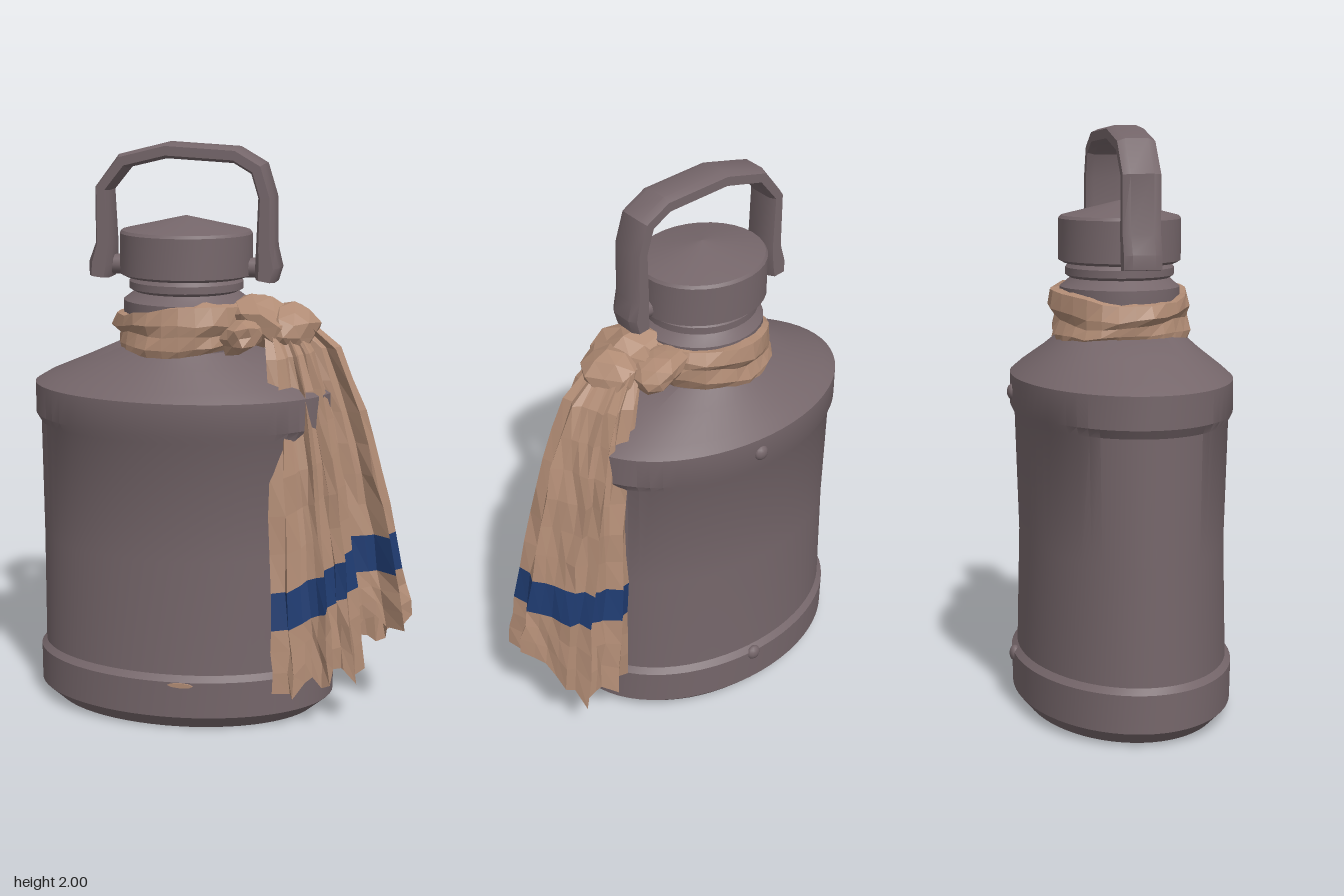
import * as THREE from 'three';
import { toCreasedNormals } from 'three/addons/utils/BufferGeometryUtils.js';

const material = (name, color, extra = {}) => {
  const m = new THREE.MeshStandardMaterial({ color, ...extra });
  m.name = name;
  return m;
};

// small seeded random, -1..1
let seed = 7;
const rand = () => {
  seed = (seed * 16807) % 2147483647;
  return (seed / 2147483647) * 2 - 1;
};

// skin over closed rings of [x, y, z] points
function loft(rings) {
  const n = rings[0].length, index = [];
  for (let i = 0; i < rings.length - 1; i++) {
    for (let j = 0; j < n; j++) {
      const a = i * n + j, b = i * n + (j + 1) % n;
      index.push(a, a + n, b, b, a + n, b + n);
    }
  }
  const g = new THREE.BufferGeometry();
  g.setAttribute('position', new THREE.Float32BufferAttribute(rings.flat(2), 3));
  g.setIndex(index);
  g.computeVertexNormals();
  return g;
}

// ellipse ring from [y, radiusX, radiusZ, centreX, centreZ]
const ellipse = (n) => ([y, rx, rz, cx = -0.15, cz = 0]) =>
  Array.from({ length: n }, (_, j) => {
    const a = (j / n) * Math.PI * 2;
    return [cx + rx * Math.cos(a), y, cz + rz * Math.sin(a)];
  });

export function createModel() {
  const group = new THREE.Group();
  const metal = material('canteenMetal', 0x75666a);
  const cloth = material('scarfCloth', 0xb08b74, { flatShading: true, side: THREE.DoubleSide });
  const blue = material('scarfStripe', 0x1f3b70, { flatShading: true, side: THREE.DoubleSide });
  const add = (name, geometry, mat) => {
    const mesh = new THREE.Mesh(geometry, mat);
    mesh.name = name;
    group.add(mesh);
    return mesh;
  };
  const creased = (g, angle = 0.5) => toCreasedNormals(g, angle);

  // oval body with raised bands and sloping shoulder
  add('body', creased(loft([
    [0, 0.001, 0.001], [0, 0.48, 0.33], [0.05, 0.54, 0.372], [0.18, 0.54, 0.375],
    [0.2, 0.522, 0.355], [0.6, 0.52, 0.345], [1.02, 0.522, 0.358], [1.05, 0.54, 0.373],
    [1.16, 0.54, 0.373], [1.19, 0.49, 0.34], [1.25, 0.35, 0.265], [1.3, 0.24, 0.21], [1.3, 0.001, 0.001],
  ].map(ellipse(64)))), metal);

  // neck with stepped rings
  add('neck', creased(loft([
    [1.28, 0.21, 0.2], [1.4, 0.22, 0.205], [1.46, 0.22, 0.205], [1.475, 0.2, 0.185],
    [1.49, 0.18, 0.17], [1.5, 0.2, 0.185], [1.525, 0.2, 0.185], [1.545, 0.18, 0.17],
  ].map(([y, a, b]) => ellipse(32)([y, a, b, -0.143, 0])))), metal);

  // screw cap with low pointed top
  add('cap', creased(loft([
    [1.54, 0.001, 0.001], [1.54, 0.21, 0.19], [1.55, 0.232, 0.208], [1.69, 0.232, 0.208],
    [1.7, 0.225, 0.2], [1.75, 0.001, 0.001],
  ].map(([y, a, b]) => ellipse(32)([y, a, b, -0.143, 0]))), 0.3), metal);

  // carrying handle: [x, y, half thickness]
  const path = [
    [-0.445, 1.535, 0.036], [-0.44, 1.58, 0.042], [-0.427, 1.65, 0.03], [-0.43, 1.84, 0.025],
    [-0.355, 1.935, 0.027], [-0.2, 1.973, 0.027], [0.04, 1.96, 0.027], [0.118, 1.915, 0.028],
    [0.147, 1.82, 0.027], [0.145, 1.65, 0.032], [0.152, 1.58, 0.042], [0.145, 1.535, 0.034],
  ];
  const section = [[1, 0.6], [0.6, 1], [-0.6, 1], [-1, 0.6], [-1, -0.6], [-0.6, -1], [0.6, -1], [1, -0.6]];
  const handleRings = path.map(([x, y, t], i) => {
    const p = path[Math.max(i - 1, 0)], q = path[Math.min(i + 1, path.length - 1)];
    const l = Math.hypot(q[0] - p[0], q[1] - p[1]);
    const nx = (q[1] - p[1]) / l, ny = (p[0] - q[0]) / l;
    return section.map(([u, v]) => [x + nx * u * t, y + ny * u * t, 0.005 + v * 0.064]);
  });
  const tip = (i) => section.map(() => [path[i][0], path[i][1], 0.005]);
  add('handle', creased(loft([tip(0), ...handleRings, tip(path.length - 1)]), 0.6), metal);

  // pivots joining the handle to the cap
  for (const [x, name] of [[-0.395, 'rightPivot'], [0.105, 'leftPivot']]) {
    const pivot = add(name, new THREE.CylinderGeometry(0.035, 0.035, 0.09, 10), metal);
    pivot.rotation.z = Math.PI / 2;
    pivot.position.set(x, 1.575, 0.005);
  }

  // rivets on the back
  for (const y of [0.17, 1.1]) {
    const rivet = add('backRivet', new THREE.SphereGeometry(0.028, 12, 8), metal);
    rivet.scale.z = 0.7;
    rivet.position.set(-0.11, y, -0.368);
  }

  // worn patch on the front lower band
  const scuff = add('wornPatch', new THREE.CylinderGeometry(0.045, 0.045, 0.006, 8), cloth);
  scuff.rotation.x = Math.PI / 2;
  scuff.scale.z = 0.2;
  scuff.position.set(-0.08, 0.17, 0.373);

  // scarf wound round the neck
  const wrap = [[0.17, 1.285], [0.225, 1.285], [0.243, 1.32], [0.232, 1.36], [0.25, 1.39], [0.235, 1.44], [0.19, 1.45]];
  add('scarfWrap', loft(wrap.map(([r, y], k) => Array.from({ length: 26 }, (_, j) => {
    const a = (j / 26) * Math.PI * 2;
    const rr = r + 0.008 * Math.sin(3 * a + k * 1.3) + 0.006 * rand();
    return [-0.145 + rr * Math.cos(a), y + 0.012 * Math.sin(2 * a + k) + 0.02 * Math.cos(a) + 0.005 * rand(), rr * 0.97 * Math.sin(a)];
  }))), cloth);

  // crumpled knot: overlapping folded lumps [x, y, z, sx, sy, sz, tilt]
  const lumps = [
    [0.14, 1.39, 0.03, 0.12, 0.085, 0.14, -0.3],
    [0.09, 1.36, 0.13, 0.09, 0.055, 0.1, 0.5],
    [0.12, 1.4, -0.1, 0.1, 0.055, 0.09, -0.4],
    [0.23, 1.36, 0.02, 0.1, 0.1, 0.13, -0.7],
  ];
  for (const [x, y, z, sx, sy, sz, tilt] of lumps) {
    const g = new THREE.IcosahedronGeometry(1, 1), p = g.attributes.position, moved = new Map();
    for (let i = 0; i < p.count; i++) {
      const key = [p.getX(i), p.getY(i), p.getZ(i)].map((v) => Math.round(v * 100)).join();
      if (!moved.has(key)) moved.set(key, 1 + 0.17 * rand());
      const k = moved.get(key);
      p.setXYZ(i, p.getX(i) * sx * k, p.getY(i) * sy * k, p.getZ(i) * sz * k);
    }
    g.computeVertexNormals();
    const lump = add('scarfKnot', g, cloth);
    lump.rotation.z = tilt;
    lump.position.set(x, y, z);
  }

  // hanging tails: columns of [x, z, stripe top, hem] with pleats between them
  const TOP = 1.42;
  function tail(name, cols, cx, cz) {
    const mx = cols.reduce((s, c) => s + c[0], 0) / cols.length;
    const mz = cols.reduce((s, c) => s + c[1], 0) / cols.length;
    const pleated = cols.flatMap((c, i) => {
      const d = cols[(i + 1) % cols.length];
      const mid = c.map((v, k) => (v + d[k]) / 2);
      const pull = 0.12 + 0.1 * rand();
      mid[0] += (mx - mid[0]) * pull;
      mid[1] += (mz - mid[1]) * pull;
      mid[3] += 0.035 * rand();
      return [c, mid];
    });
    const rings = [];
    for (let row = 0; row <= 11; row++) {
      rings.push(pleated.map(([x, z, stripe, hem]) => {
        const low = stripe - 0.13;
        let y = TOP + (stripe - TOP) * (row / 7);
        if (row > 7) y = low + (hem - low) * ((row - 8) / 3);
        const f = Math.sqrt((TOP - y) / 1.15);
        const wob = row > 0 && row < 11 ? 0.007 : 0;
        const x0 = cx + (x - mx) * 0.3, z0 = cz + (z - mz) * 0.45;
        return [x0 + (x - x0) * f + wob * rand(), y, z0 + (z - z0) * f + wob * rand()];
      }));
    }
    const g = loft(rings), perRow = pleated.length * 6;
    g.addGroup(0, perRow * 7, 0);
    g.addGroup(perRow * 7, perRow, 1);
    g.addGroup(perRow * 8, perRow * 3, 0);
    add(name, g, [cloth, blue]);
  }

  tail('frontScarfTail', [
    [0.52, 0.14, 0.62, 0.2], [0.5, 0.22, 0.6, 0.17], [0.45, 0.21, 0.58, 0.22], [0.42, 0.28, 0.56, 0.18],
    [0.36, 0.265, 0.54, 0.2], [0.3, 0.33, 0.51, 0.14], [0.23, 0.32, 0.5, 0.15], [0.24, 0.23, 0.51, 0.2],
    [0.36, 0.12, 0.56, 0.22], [0.44, 0.08, 0.6, 0.2],
  ], 0.2, 0.07);

  tail('backScarfTail', [
    [0.69, 0, 0.66, 0.36], [0.67, 0.1, 0.66, 0.33], [0.57, 0.075, 0.66, 0.37], [0.48, 0.12, 0.66, 0.3],
    [0.42, 0.05, 0.63, 0.22], [0.37, -0.08, 0.6, 0.2], [0.33, -0.18, 0.6, 0.19], [0.4, -0.22, 0.62, 0.17],
    [0.48, -0.19, 0.63, 0.2], [0.54, -0.225, 0.65, 0.18], [0.6, -0.17, 0.66, 0.26], [0.63, -0.08, 0.66, 0.33],
  ], 0.22, -0.02);

  return group;
}
